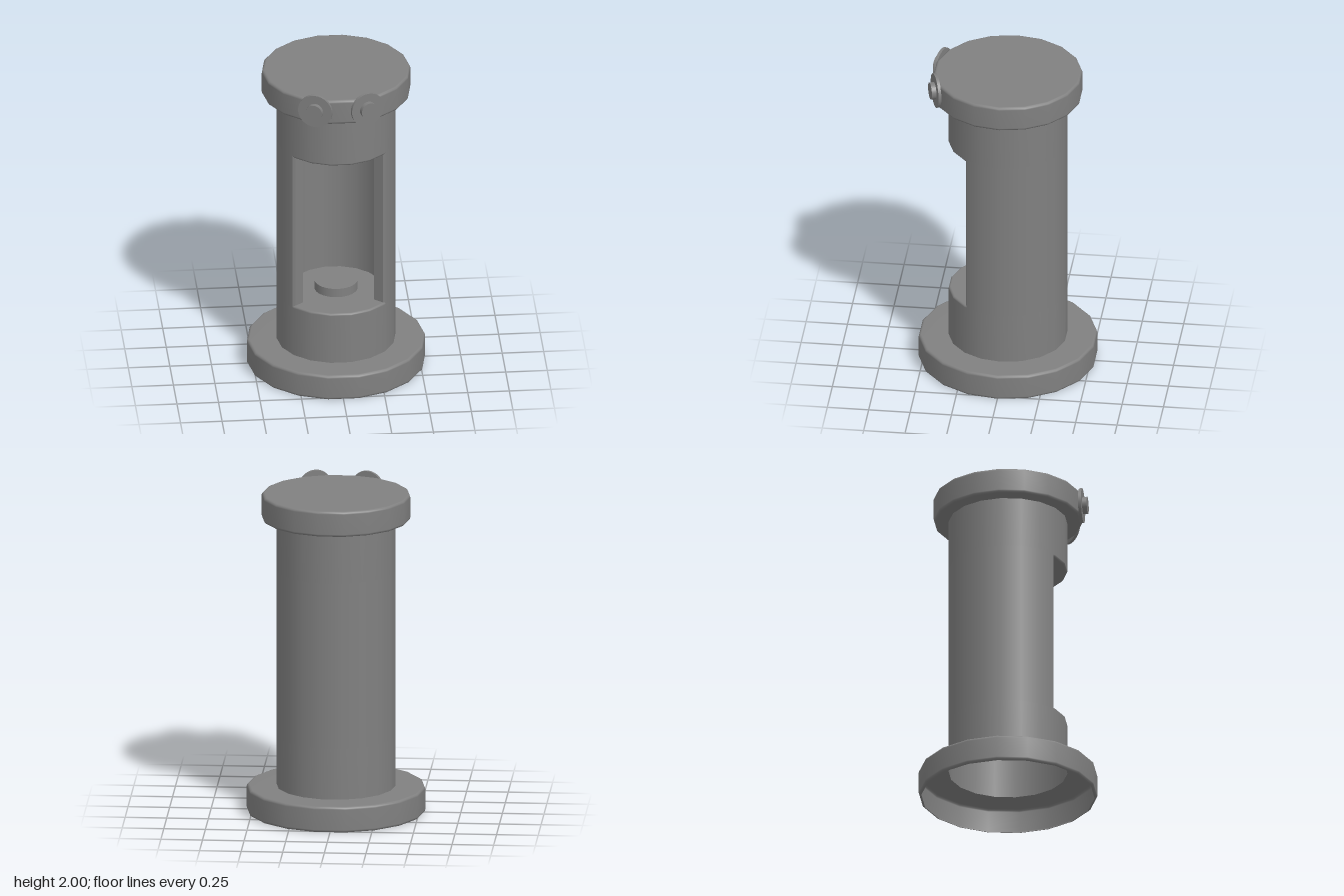
import * as THREE from 'three';
import { toCreasedNormals } from 'three/addons/utils/BufferGeometryUtils.js';

const SIDES = 18;
const STEP = (Math.PI * 2) / SIDES;
const R = 0.357; // column radius

const grey = new THREE.MeshStandardMaterial({ color: 0x808080 });
const greyOpen = new THREE.MeshStandardMaterial({ color: 0x808080, side: THREE.DoubleSide });

function part(name, geometry, material = grey) {
  const mesh = new THREE.Mesh(geometry, material);
  mesh.name = name;
  return mesh;
}

// 18-sided turned part with corners on the x axis; a repeated point makes a sharp edge
function turned(name, profile) {
  const points = profile.map(([r, y]) => new THREE.Vector2(r, y));
  return part(name, new THREE.LatheGeometry(points, SIDES, STEP / 2, Math.PI * 2), greyOpen);
}

// Profile points of a rounded rim; up = 1 for a top edge, -1 for a bottom edge
function rim(r, y, up, b = 0.017) {
  const points = [0, 1, 2, 3].map((i) => {
    const a = (i * Math.PI) / 6;
    return [r - b + b * Math.cos(a), y - up * b + up * b * Math.sin(a)];
  });
  return up > 0 ? points : points.reverse();
}

// C-shaped wall, open 50 degrees to each side of the front, with chamfered outer corners
function windowWall(y0, y1) {
  const inner = 0.28;
  const chamfer = 0.014;
  const at = (r, i) => {
    const a = (2.5 + i) * STEP; // measured from the front
    return new THREE.Vector2(r * Math.sin(a), -r * Math.cos(a));
  };
  const points = [at(R - chamfer, 0), at(R, 0).lerp(at(R, 1), 0.11)];
  for (let i = 1; i <= 12; i++) points.push(at(R, i));
  points.push(at(R, 13).lerp(at(R, 12), 0.11), at(R - chamfer, 13));
  for (let i = 13; i >= 0; i--) points.push(at(inner, i));

  let geometry = new THREE.ExtrudeGeometry(new THREE.Shape(points), {
    depth: y1 - y0, bevelEnabled: false,
  });
  geometry.rotateX(-Math.PI / 2).translate(0, y0, 0);
  geometry = toCreasedNormals(geometry, 0.6);

  // Round shading on the curved faces, in line with the turned parts
  const { position, normal } = geometry.attributes;
  const n = new THREE.Vector3();
  const radial = new THREE.Vector3();
  for (let i = 0; i < position.count; i++) {
    n.fromBufferAttribute(normal, i);
    radial.set(position.getX(i), 0, position.getZ(i)).normalize();
    const dot = n.dot(radial);
    if (Math.abs(dot) > 0.9) {
      radial.multiplyScalar(Math.sign(dot));
      normal.setXYZ(i, radial.x, radial.y, radial.z);
    }
  }
  return part('windowWall', geometry);
}

function disc(name, radius, height, y) {
  const mesh = part(name, new THREE.CylinderGeometry(radius, radius, height, 32));
  mesh.position.y = y;
  return mesh;
}

// Round plate with a raised centre, facing outwards
function eye(side) {
  const group = new THREE.Group();
  group.name = side > 0 ? 'leftEye' : 'rightEye';
  const facing = new THREE.Group();
  facing.add(disc('eyePlate', 0.105, 0.018, -0.002), disc('eyeCentre', 0.052, 0.03, 0.02));
  facing.rotation.x = Math.PI / 2;
  group.add(facing);
  group.rotation.y = side * STEP;
  group.position.set(side * 0.157 - 0.004, 1.897, 0.418);
  return group;
}

export function createModel() {
  const model = new THREE.Group();
  model.name = 'windowedColumn';

  // Hollow foot, lower column and window floor
  model.add(turned('baseAndLowerColumn', [
    ...rim(0.537, 0.003, -1), ...rim(0.537, 0.163, 1), [R, 0.163],
    [R, 0.163], ...rim(R, 0.49, 1, 0.013), [0, 0.49],
  ]));

  // Window ceiling, upper column and cap
  model.add(turned('upperColumnAndCap', [
    [0, 1.487], ...rim(R, 1.487, -1, 0.013), [R, 1.812],
    [R, 1.812], ...rim(0.447, 1.812, -1), ...rim(0.447, 1.97, 1), [0, 1.97],
  ]));

  model.add(windowWall(0.477, 1.5));

  // Plugs on the floor and ceiling of the window
  model.add(disc('floorPlug', 0.13, 0.06, 0.515));
  model.add(disc('ceilingPlug', 0.13, 0.06, 1.485));

  for (const side of [-1, 1]) model.add(eye(side));
  return model;
}
